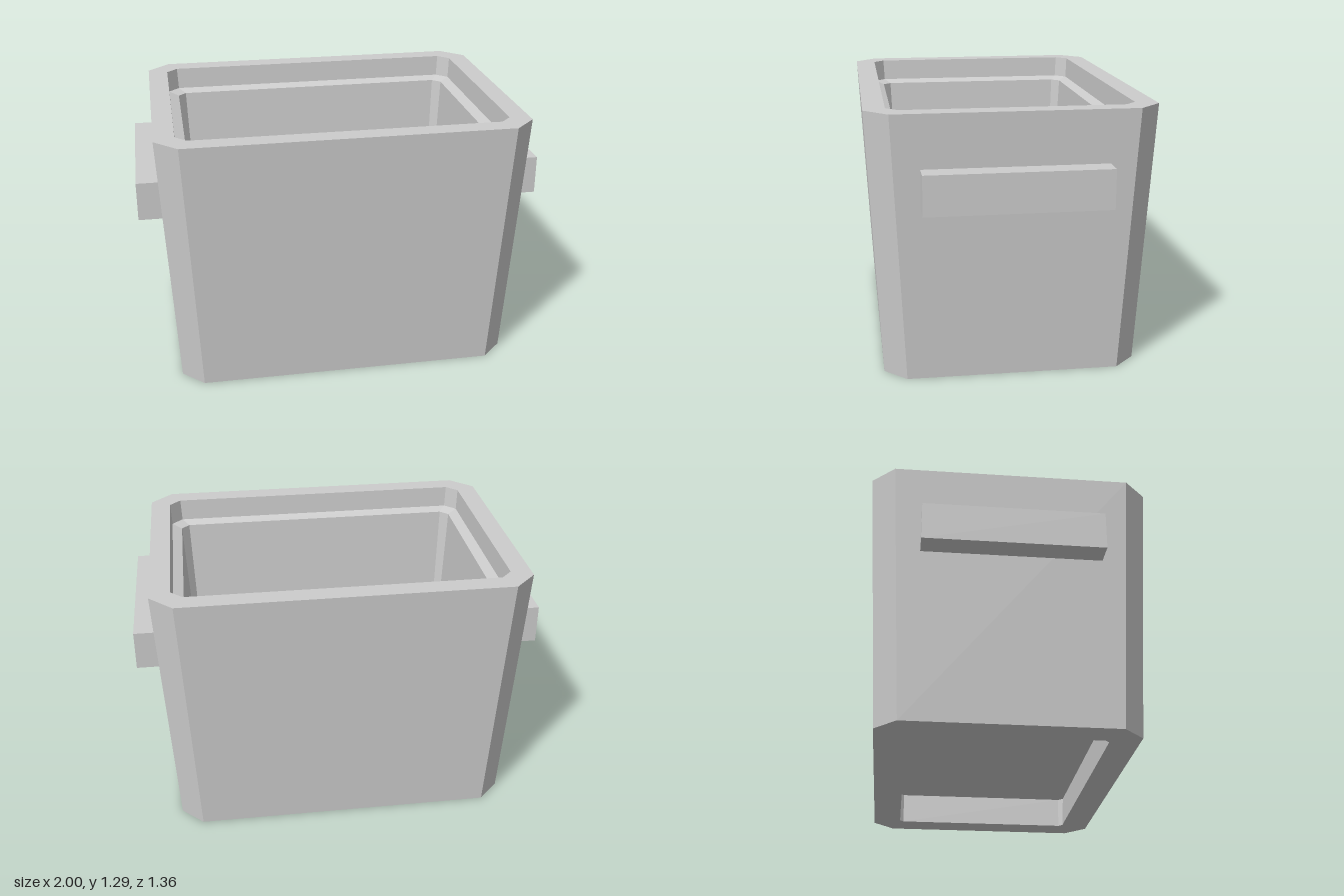
import * as THREE from 'three';

// Rectangle with cut corners at height y, counter-clockwise seen from above
function ring([hx, hz, cut, y]) {
  const x = hx - cut, z = hz - cut;
  return [
    [-x, y, hz], [x, y, hz], [hx, y, z], [hx, y, -z],
    [x, y, -hz], [-x, y, -hz], [-hx, y, -z], [-hx, y, z],
  ];
}

// Joins successive rings with flat faces and closes both ends
function loft(profile) {
  const rings = profile.map(ring);
  const points = [];
  const tri = (a, b, c) => points.push(...a, ...b, ...c);
  for (let i = 0; i < rings.length - 1; i++) {
    for (let j = 0; j < 8; j++) {
      const k = (j + 1) % 8;
      const a = rings[i][j], b = rings[i][k], c = rings[i + 1][k], d = rings[i + 1][j];
      tri(a, b, c);
      tri(a, c, d);
    }
  }
  const first = rings[0], last = rings[rings.length - 1];
  for (let j = 1; j < 7; j++) {
    tri(first[0], first[j + 1], first[j]);
    tri(last[0], last[j], last[j + 1]);
  }
  const geometry = new THREE.BufferGeometry();
  geometry.setAttribute('position', new THREE.Float32BufferAttribute(points, 3));
  geometry.computeVertexNormals();
  return geometry;
}

export function createModel() {
  const model = new THREE.Group();
  model.name = 'planterBox';
  const grey = new THREE.MeshStandardMaterial({ color: 0xcccccc });
  grey.name = 'light grey';

  // Tapered tub: half width, half depth, corner cut, height
  const tub = new THREE.Mesh(loft([
    [0.698, 0.478, 0.025, 0.16],  // recess ceiling under the base
    [0.69, 0.47, 0.02, 0],        // recess opening
    [0.84, 0.615, 0.105, 0],      // foot
    [0.905, 0.68, 0.11, 1.29],    // outer rim
    [0.805, 0.578, 0.055, 1.29],  // inner rim
    [0.8, 0.573, 0.055, 1.18],    // top of the sloping ledge
    [0.75, 0.527, 0.04, 1.163],   // lower edge of the ledge
    [0.7, 0.475, 0.025, 0.19],    // inner floor
  ]), grey);
  tub.name = 'tub';
  model.add(tub);

  // Bar handles sunk into the side walls
  for (const side of [1, -1]) {
    const handle = new THREE.Mesh(new THREE.BoxGeometry(0.15, 0.19, 0.87), grey);
    handle.name = side > 0 ? 'leftHandle' : 'rightHandle';
    handle.position.set(side * 0.925, 0.94, 0);
    model.add(handle);
  }
  return model;
}
